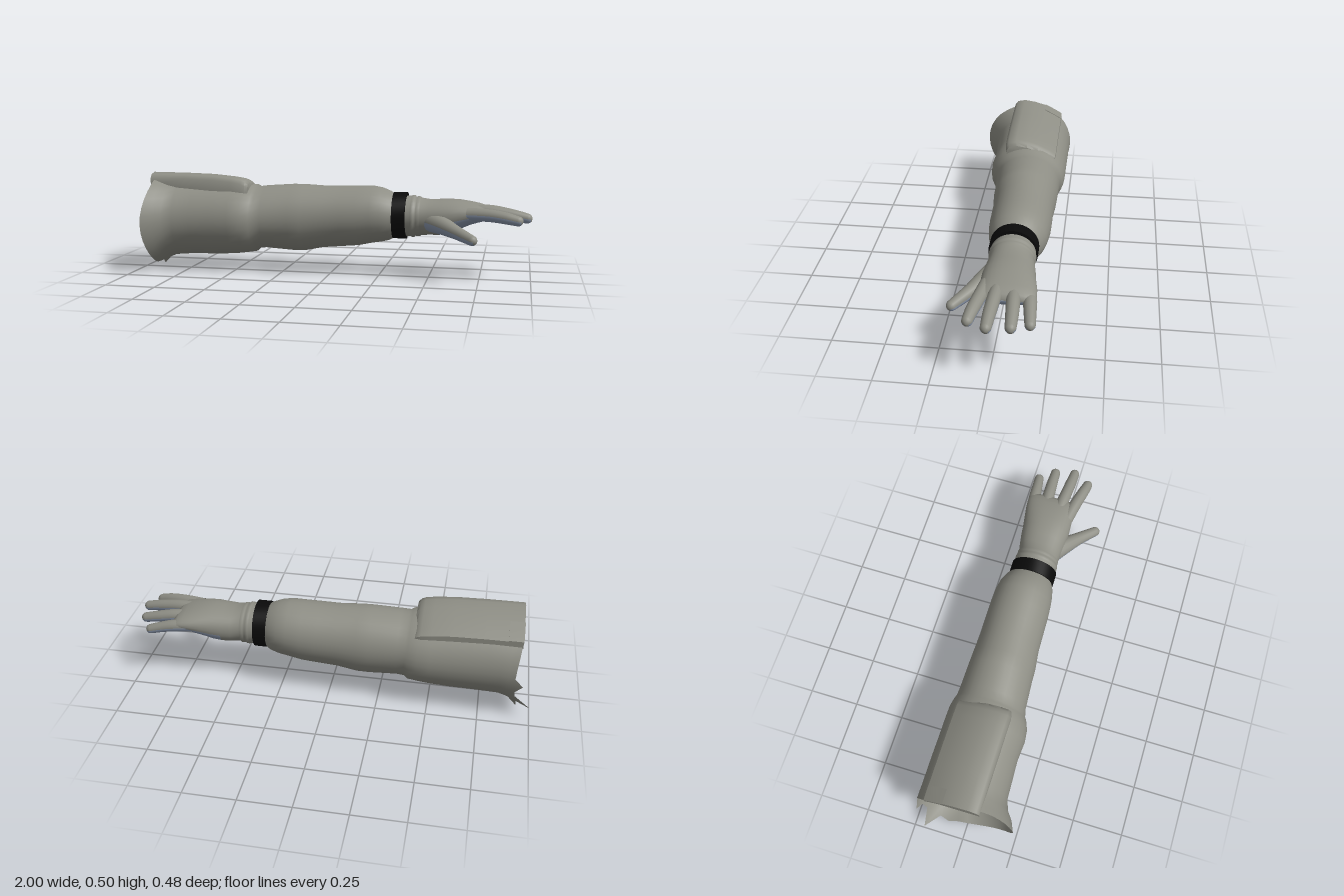
import * as THREE from 'three';
import { toCreasedNormals } from 'three/addons/utils/BufferGeometryUtils.js';

const mat = (name, color, side = THREE.FrontSide) =>
  Object.assign(new THREE.MeshStandardMaterial({ color, side }), { name });

// Skin a list of closed rings; quads where isSecond(i, j) is true use material 1
function skin(rings, isSecond = () => false, caps = false) {
  const n = rings[0].length, pos = [], main = [], second = [];
  rings.forEach(r => r.forEach(p => pos.push(p.x, p.y, p.z)));
  for (let i = 0; i < rings.length - 1; i++)
    for (let j = 0; j < n; j++) {
      const a = i * n + j, b = i * n + (j + 1) % n;
      (isSecond(i, j) ? second : main).push(a, b, a + n, b, b + n, a + n);
    }
  if (caps) {
    const last = (rings.length - 1) * n;
    for (let j = 1; j < n - 1; j++) main.push(0, j + 1, j, last, last + j, last + j + 1);
  }
  const g = new THREE.BufferGeometry();
  g.setAttribute('position', new THREE.Float32BufferAttribute(pos, 3));
  g.setIndex([...main, ...second]);
  g.addGroup(0, main.length, 0);
  if (second.length) g.addGroup(main.length, second.length, 1);
  g.computeVertexNormals();
  return g;
}

// Rounded ring across x: [x, top, bottom, back z, front z]
function ring([x, t, b, z0, z1], n, power = 2) {
  const f = v => Math.sign(v) * Math.abs(v) ** (2 / power);
  return Array.from({ length: n }, (_, j) => {
    const a = j / n * Math.PI * 2;
    return new THREE.Vector3(x, (t + b) / 2 + (t - b) / 2 * f(Math.cos(a)), (z0 + z1) / 2 + (z1 - z0) / 2 * f(Math.sin(a)));
  });
}

// Finger along points [x, y, z, radius], with a round tip and a second colour underneath
function finger(points) {
  const n = 16, steps = 12, capSteps = 5, rings = [];
  const curve = new THREE.CatmullRomCurve3(points.map(p => new THREE.Vector3(p[0], p[1], p[2])));
  const radius = t => {
    const s = t * (points.length - 1), i = Math.min(Math.floor(s), points.length - 2);
    return THREE.MathUtils.lerp(points[i][3], points[i + 1][3], s - i);
  };
  const add = (c, d, r) => {
    const side = new THREE.Vector3().crossVectors(d, new THREE.Vector3(0, 1, 0)).normalize();
    const up = new THREE.Vector3().crossVectors(side, d);
    rings.push(Array.from({ length: n }, (_, j) => {
      const a = j / n * Math.PI * 2;
      return c.clone().addScaledVector(up, r * Math.cos(a)).addScaledVector(side, r * Math.sin(a));
    }));
  };
  for (let i = 0; i <= steps; i++) add(curve.getPoint(i / steps), curve.getTangent(i / steps), radius(i / steps));
  const end = curve.getPoint(1), dir = curve.getTangent(1), r = radius(1);
  for (let k = 1; k <= capSteps; k++) {
    const a = k / capSteps * Math.PI / 2;
    add(end.clone().addScaledVector(dir, r * Math.sin(a)), dir, r * Math.max(Math.cos(a), 0.001));
  }
  return skin(rings, (i, j) => i < steps + 3 && Math.cos((j + 0.5) / n * Math.PI * 2) < -0.15);
}

export function createModel() {
  const group = new THREE.Group();
  const fabric = mat('grey fabric', 0x8f8f86, THREE.DoubleSide);
  const palm = mat('blue palm', 0x8d9ab0, THREE.DoubleSide);
  const black = mat('black band', 0x0a0a0a);
  const add = (name, geometry, material) => {
    const m = new THREE.Mesh(geometry, material);
    m.name = name;
    group.add(m);
  };

  // Sleeve, open and torn at the shoulder, with a fold near the elbow
  const sleeve = [
    [-0.92, 0.483, 0.028, -0.241, 0.242], [-0.88, 0.478, 0.045, -0.24, 0.22],
    [-0.84, 0.472, 0.064, -0.238, 0.19], [-0.79, 0.468, 0.07, -0.238, 0.172],
    [-0.7, 0.463, 0.074, -0.238, 0.168], [-0.6, 0.458, 0.076, -0.237, 0.163],
    [-0.5, 0.452, 0.082, -0.237, 0.17], [-0.44, 0.448, 0.09, -0.235, 0.163],
    [-0.395, 0.443, 0.096, -0.226, 0.145], [-0.38, 0.434, 0.113, -0.219, 0.135],
    [-0.34, 0.44, 0.117, -0.215, 0.126], [-0.2, 0.45, 0.107, -0.212, 0.116],
    [-0.14, 0.45, 0.107, -0.21, 0.114], [-0.04, 0.444, 0.127, -0.205, 0.102],
    [0.06, 0.446, 0.136, -0.206, 0.099], [0.14, 0.447, 0.143, -0.206, 0.097],
    [0.21, 0.449, 0.158, -0.202, 0.092], [0.26, 0.44, 0.166, -0.194, 0.085],
    [0.3, 0.424, 0.176, -0.178, 0.074], [0.325, 0.41, 0.192, -0.16, 0.063],
  ].map(s => ring(s, 32));
  sleeve[0].forEach((p, j) => { p.x += 0.01 * Math.sin(j * 0.6); });
  sleeve[0][18].set(-0.935, 0, -0.097);
  sleeve[0][20].set(-1, 0.06, -0.195);
  sleeve[0][23].x = -0.95;
  add('sleeve', skin(sleeve), fabric);

  // Curved pad lying on top of the upper sleeve
  const padProfile = [[-0.184, 0.428], [-0.15, 0.449], [-0.09, 0.479], [-0.03, 0.497], [0.03, 0.505], [0.07, 0.497], [0.085, 0.478]];
  const padRing = (x, drop, depth, from = 0, to = 7, inset = 1) => {
    const p = padProfile.slice(from, to);
    const v = (z, y) => new THREE.Vector3(x, y - drop, -0.05 + (z + 0.05) * inset);
    return [...p.map(([z, y]) => v(z, y)), ...p.reverse().map(([z, y]) => v(z, y - depth))];
  };
  const pad = [[-0.93, 0, 0.035, 1], [-0.75, 0.001, 0.05, 1], [-0.6, 0.005, 0.06, 1], [-0.5, 0.014, 0.06, 1],
    [-0.45, 0.022, 0.06, 1], [-0.43, 0.03, 0.06, 0.98], [-0.415, 0.045, 0.05, 0.95]]
    .map(([x, drop, depth, inset]) => padRing(x, drop, depth, 0, 7, inset));
  add('shoulderPad', toCreasedNormals(skin(pad, undefined, true), 0.8), fabric);
  const flap = [-0.932, -0.86].map(x => padRing(x, -0.003, 0.006, 0, 3));
  add('padFlap', toCreasedNormals(skin(flap, undefined, true), 0.8), fabric);

  // Black wrist band
  const band = [[0.318, 0.1], [0.318, 0.117], [0.385, 0.117], [0.385, 0.098]]
    .map(([x, r]) => ring([x, 0.303 + r, 0.303 - r, -0.047 - r, -0.047 + r], 40));
  add('wristBand', toCreasedNormals(skin(band), 0.6), black);

  // Glove body: stitched wrist, back of the hand and hollow palm
  const glove = [
    [0.32, 0.405, 0.2, -0.155, 0.058], [0.405, 0.403, 0.2, -0.155, 0.06],
    [0.412, 0.406, 0.196, -0.159, 0.064], [0.424, 0.406, 0.196, -0.159, 0.064],
    [0.43, 0.399, 0.203, -0.153, 0.057], [0.438, 0.401, 0.2, -0.156, 0.06],
    [0.452, 0.4, 0.2, -0.157, 0.06], [0.458, 0.394, 0.207, -0.153, 0.057],
    [0.5, 0.387, 0.21, -0.161, 0.061], [0.55, 0.389, 0.211, -0.169, 0.066],
    [0.6, 0.391, 0.221, -0.174, 0.07], [0.65, 0.388, 0.243, -0.181, 0.068],
    [0.7, 0.38, 0.266, -0.188, 0.066], [0.74, 0.371, 0.279, -0.191, 0.065],
    [0.77, 0.361, 0.287, -0.19, 0.063], [0.785, 0.35, 0.295, -0.183, 0.056],
    [0.795, 0.335, 0.31, -0.165, 0.04], [0.796, 0.323, 0.322, -0.1, 0],
  ].map((s, i) => ring(s, 32, i < 8 ? 2 : 2.2));
  add('glove', skin(glove, (i, j) => i >= 9 && Math.cos((j + 0.5) / 32 * Math.PI * 2) < -0.15), [fabric, palm]);

  // Fingers and thumb; the last point is the centre of the round tip
  const digits = {
    indexFinger: [[0.69, 0.328, 0.035, 0.033], [0.8, 0.327, 0.057, 0.031], [0.88, 0.318, 0.075, 0.029], [0.932, 0.308, 0.085, 0.025]],
    middleFinger: [[0.69, 0.335, -0.02, 0.034], [0.8, 0.336, -0.011, 0.031], [0.9, 0.324, -0.003, 0.029], [0.975, 0.311, 0.001, 0.025]],
    ringFinger: [[0.69, 0.33, -0.088, 0.033], [0.8, 0.33, -0.094, 0.031], [0.88, 0.318, -0.098, 0.029], [0.955, 0.304, -0.1, 0.025]],
    littleFinger: [[0.69, 0.318, -0.15, 0.034], [0.78, 0.314, -0.164, 0.031], [0.85, 0.302, -0.171, 0.027], [0.907, 0.288, -0.177, 0.024]],
    thumb: [[0.5, 0.288, 0.005, 0.055], [0.57, 0.272, 0.06, 0.045], [0.64, 0.25, 0.117, 0.033], [0.722, 0.224, 0.19, 0.025]],
  };
  for (const [name, points] of Object.entries(digits)) add(name, finger(points), [fabric, palm]);
  return group;
}
